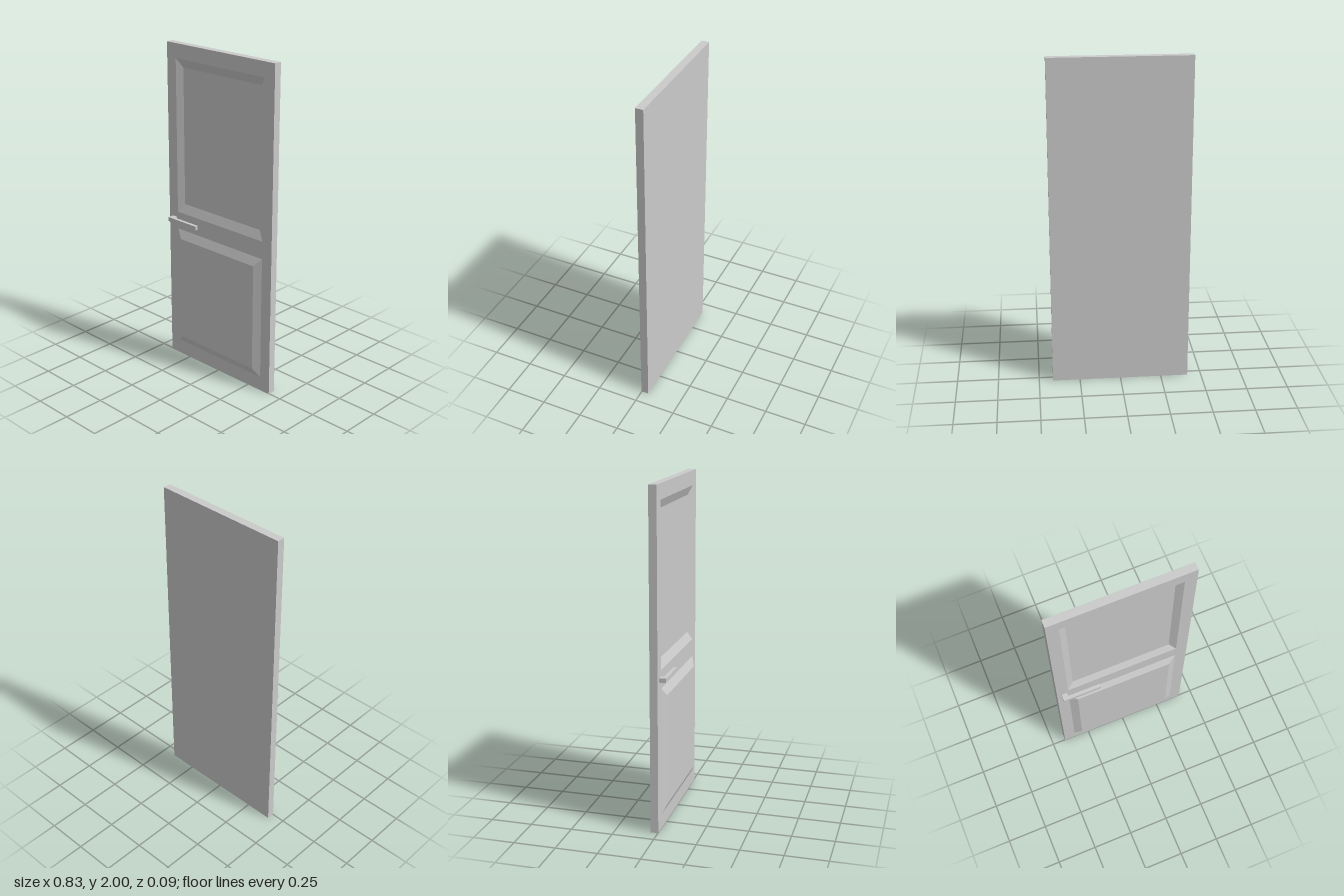
import * as THREE from 'three';

const BACK = -0.0435, FACE = 0.003, RELIEF = 0.0225;
const material = new THREE.MeshStandardMaterial({ color: 0xcccccc, flatShading: true });

// Rectangle as four corners, counter-clockwise seen from the front
const rect = (halfW, y0, y1) => [[-halfW, y0], [halfW, y0], [halfW, y1], [-halfW, y1]];

// Four walls from rectangle a (at za) to rectangle b (at zb), with an optional end cap
function loft(a, za, b, zb, cap) {
  const A = a.map(([x, y]) => [x, y, za]);
  const B = b.map(([x, y]) => [x, y, zb]);
  const pos = [];
  const quad = (p, q, r, s) => pos.push(...p, ...q, ...r, ...p, ...r, ...s);
  for (let i = 0; i < 4; i++) {
    const j = (i + 1) % 4;
    quad(A[i], A[j], B[j], B[i]);
  }
  if (cap === 'front') quad(...B);
  if (cap === 'back') quad(A[3], A[2], A[1], A[0]);
  const geometry = new THREE.BufferGeometry();
  geometry.setAttribute('position', new THREE.Float32BufferAttribute(pos, 3));
  geometry.computeVertexNormals();
  return geometry;
}

const toPoints = (corners) => corners.map(([x, y]) => new THREE.Vector2(x, y));

export function createModel() {
  const door = new THREE.Group();
  door.name = 'door';
  const add = (name, geometry) => {
    const mesh = new THREE.Mesh(geometry, material);
    mesh.name = name;
    door.add(mesh);
    return mesh;
  };

  // Upper panel is sunk into the slab, lower panel stands proud of it
  const panels = [
    { name: 'upperPanel', outer: rect(0.345, 0.963, 1.912), inner: rect(0.305, 1.017, 1.859), depth: -RELIEF },
    { name: 'lowerPanel', outer: rect(0.345, 0.087, 0.854), inner: rect(0.298, 0.137, 0.802), depth: RELIEF },
  ];

  // Slab edges and back
  const outline = rect(0.416, 0, 2);
  add('slab', loft(outline, BACK, outline, FACE, 'back'));

  // Flat front frame with an opening for each panel
  const frame = new THREE.Shape(toPoints(outline));
  for (const p of panels) frame.holes.push(new THREE.Path(toPoints(p.outer)));
  add('frontFrame', new THREE.ShapeGeometry(frame).translate(0, 0, FACE));

  // Bevelled panels
  for (const p of panels) add(p.name, loft(p.outer, FACE, p.inner, FACE + p.depth, 'front'));

  // L-shaped lever handle, drawn in plan and extruded upward
  const plan = [[-0.388, FACE], [-0.354, FACE], [-0.354, 0.0235], [-0.155, 0.0235], [-0.155, 0.0435], [-0.388, 0.0435]];
  const lever = new THREE.ExtrudeGeometry(
    new THREE.Shape(toPoints(plan.map(([x, z]) => [x, -z]))),
    { depth: 0.026, bevelEnabled: false },
  );
  add('handle', lever.rotateX(-Math.PI / 2)).position.y = 0.902;

  return door;
}
